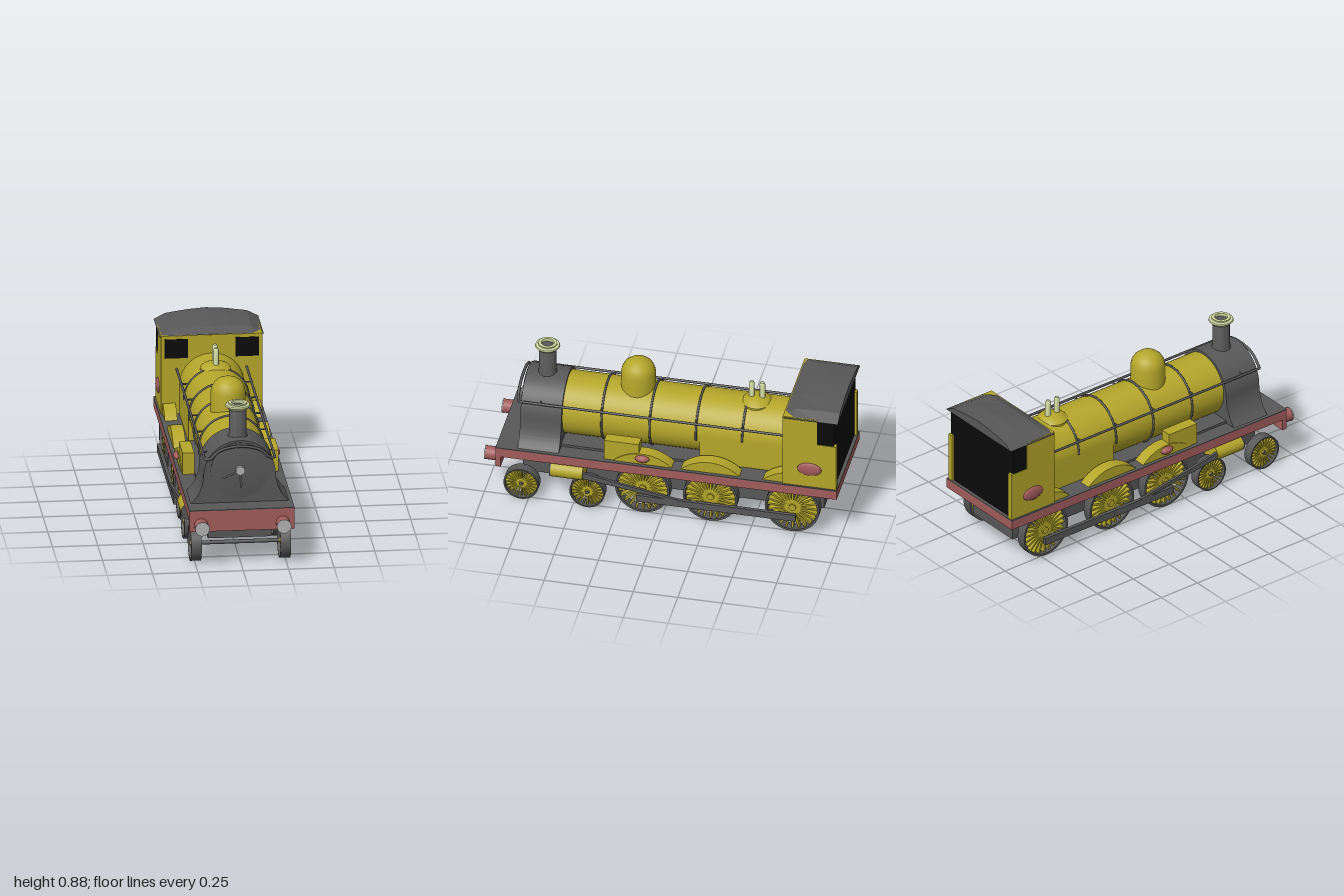
import * as THREE from 'three';
import { toCreasedNormals } from 'three/addons/utils/BufferGeometryUtils.js';

const paint = (name, color) => {
  const m = new THREE.MeshStandardMaterial({ color });
  m.name = name;
  return m;
};

export function createModel() {
  const yellow = paint('yellow', 0xb5a72b), grey = paint('darkGrey', 0x585858), red = paint('red', 0xa35c5c);
  const black = paint('black', 0x0b0b0b), silver = paint('silver', 0xb2b2b2), cream = paint('cream', 0xd0d8a0);
  const model = new THREE.Group();
  model.name = 'steamLocomotive';

  // Helpers
  const add = (name, geo, mat, x = 0, y = 0, z = 0, parent = model) => {
    const mesh = new THREE.Mesh(geo, mat);
    mesh.name = name;
    mesh.position.set(x, y, z);
    parent.add(mesh);
    return mesh;
  };
  const block = (name, mat, x0, x1, y0, y1, z0, z1) =>
    add(name, new THREE.BoxGeometry(x1 - x0, y1 - y0, z1 - z0), mat, (x0 + x1) / 2, (y0 + y1) / 2, (z0 + z1) / 2);
  const rodX = (r, len, n = 16) => new THREE.CylinderGeometry(r, r, len, n).rotateZ(Math.PI / 2);
  const rodZ = (r, len, n = 32) => new THREE.CylinderGeometry(r, r, len, n).rotateX(Math.PI / 2);
  const extrude = (shape, depth, segments = 24) =>
    toCreasedNormals(new THREE.ExtrudeGeometry(shape, { depth, bevelEnabled: false, curveSegments: segments }), 0.6);
  const lathe = (pts) => toCreasedNormals(
    new THREE.LatheGeometry(pts.map(([r, y]) => new THREE.Vector2(r, y)), 32).toNonIndexed(), 0.6);
  const tube = (pts, r) => new THREE.TubeGeometry(
    new THREE.CatmullRomCurve3(pts.map((p) => new THREE.Vector3(...p))), 32, r, 8);

  // Footplate, frame and buffer beam
  block('footplate', red, -0.29, 0.29, 0.275, 0.328, -0.985, 0.93);
  block('footplateTop', grey, -0.29, 0.29, 0.328, 0.333, -0.985, 0.93);
  block('footplateUnderside', grey, -0.26, 0.26, 0.27, 0.275, -0.88, 0.89);
  block('cabUnderside', black, -0.25, 0.25, 0.264, 0.275, -0.97, -0.88);
  block('runningBoardStep', grey, -0.2, 0.2, 0.333, 0.347, -0.2, 0.58);
  block('mainFrame', grey, -0.175, 0.175, 0.125, 0.275, -0.89, 0.8);
  block('bufferBeam', red, -0.29, 0.29, 0.21, 0.33, 0.9, 0.93);

  // Boiler and straight-sided firebox
  add('boiler', rodZ(0.176, 1.24, 48), yellow, 0, 0.5, -0.04);
  const fireboxShape = new THREE.Shape();
  fireboxShape.moveTo(-0.178, 0.333);
  fireboxShape.lineTo(0.178, 0.333);
  fireboxShape.lineTo(0.178, 0.5);
  fireboxShape.absarc(0, 0.5, 0.178, 0, Math.PI, false);
  add('firebox', extrude(fireboxShape, 0.5), yellow, 0, 0, -0.69);
  for (const [z, arc] of [[0.36, Math.PI * 2], [0.09, Math.PI * 2], [-0.17, Math.PI + 0.3], [-0.43, Math.PI]]) {
    const geo = new THREE.TorusGeometry(0.179, 0.006, 8, 48, arc).rotateZ(Math.PI / 2 - arc / 2);
    add('boilerBand', geo, grey, 0, 0.5, z);
  }

  // Smokebox with flared foot
  const smokebox = new THREE.Shape();
  smokebox.moveTo(-0.27, 0.333);
  smokebox.lineTo(0.27, 0.333);
  smokebox.quadraticCurveTo(0.205, 0.39, 0.199, 0.49);
  smokebox.absarc(0, 0.49, 0.199, 0, Math.PI, false);
  smokebox.quadraticCurveTo(-0.205, 0.39, -0.27, 0.333);
  add('smokebox', extrude(smokebox, 0.23), grey, 0, 0, 0.58);
  add('smokeboxDoor', lathe([[0, -0.01], [0.16, -0.01], [0.16, 0.003], [0.1, 0.011], [0, 0.014]]).rotateX(Math.PI / 2),
    grey, 0, 0.518, 0.812);
  add('doorBoss', rodZ(0.025, 0.024, 20), silver, 0, 0.525, 0.833);
  for (const [x, y] of [[-0.1, 0.48], [0.006, 0.425]]) {
    add('doorHandle', tube([[0, 0.525, 0.838], [x / 2, (y + 0.525) / 2, 0.838], [x, y, 0.838]], 0.004), silver);
  }

  // Handrail along both sides and over the door
  add('frontHandrail', tube([[-0.195, 0.592, 0.815], [-0.17, 0.592, 0.828], [-0.11, 0.642, 0.832], [0, 0.664, 0.832],
    [0.11, 0.642, 0.832], [0.17, 0.592, 0.828], [0.195, 0.592, 0.815]], 0.008), grey);
  for (const s of [-1, 1]) {
    add('sideHandrail', rodZ(0.007, 1.5, 8), grey, s * 0.193, 0.592, 0.07);
    for (const z of [0.7, 0.36, 0.09, -0.17, -0.43]) {
      add('handrailStud', rodX(0.005, 0.06, 8), grey, s * 0.165, 0.592, z);
    }
  }

  // Chimney, dome and safety valves
  add('chimney', lathe([[0.058, 0.67], [0.048, 0.7], [0.048, 0.84], [0.038, 0.858], [0, 0.858]]), grey, 0, 0, 0.7);
  add('chimneyCap', lathe([[0.046, 0.834], [0.056, 0.842], [0.069, 0.856], [0.066, 0.864], [0.052, 0.868],
    [0.052, 0.875], [0.035, 0.875], [0.035, 0.855]]), cream, 0, 0, 0.7);
  add('steamDome', lathe([[0.096, 0.6], [0.096, 0.76], [0.09, 0.787], [0.076, 0.812], [0.052, 0.832], [0.026, 0.842],
    [0, 0.844]]), yellow, 0, 0, 0.19);
  add('valveBase', lathe([[0.086, 0.64], [0.086, 0.668], [0.07, 0.684], [0.04, 0.697], [0, 0.7]]), yellow, 0, 0, -0.475);
  for (const z of [-0.445, -0.505]) {
    add('safetyValve', lathe([[0.016, 0.68], [0.016, 0.778], [0.01, 0.79], [0, 0.792]]), cream, 0, 0, z);
  }

  // Cab with black interior
  block('cabFront', yellow, -0.28, 0.28, 0.333, 0.784, -0.872, -0.68);
  block('cabInterior', black, -0.25, 0.25, 0.333, 0.784, -0.966, -0.872);
  block('cabDoorway', black, -0.276, 0.276, 0.62, 0.784, -0.966, -0.872);
  for (const s of [-1, 1]) {
    block('cabRearSide', yellow, s * 0.265 - 0.015, s * 0.265 + 0.015, 0.333, 0.62, -0.98, -0.872);
    block('cabWindow', black, s * 0.195 - 0.065, s * 0.195 + 0.065, 0.655, 0.765, -0.682, -0.677);
  }

  // Hipped cab roof from four cross-sections
  const roofLoops = [
    [-0.685, 0.784, 0.785, 0.786], [-0.74, 0.806, 0.812, 0.815], [-0.88, 0.811, 0.829, 0.834], [-0.99, 0.811, 0.829, 0.836],
  ].map(([z, a, b, c]) => [
    [-0.288, 0.778, z], [-0.225, a, z], [-0.1, b, z], [0, c, z], [0.1, b, z], [0.225, a, z], [0.288, 0.778, z],
  ]);
  const corners = [];
  const quad = (a, b, c, d) => corners.push(...a, ...b, ...c, ...a, ...c, ...d);
  for (let i = 0; i < 3; i++) {
    const f = roofLoops[i], r = roofLoops[i + 1];
    for (let j = 0; j < 7; j++) {
      const k = (j + 1) % 7;
      quad(f[j], f[k], r[k], r[j]);
    }
  }
  for (let j = 1; j < 6; j++) {
    const f = roofLoops[0], r = roofLoops[3];
    corners.push(...f[0], ...f[j + 1], ...f[j], ...r[0], ...r[j], ...r[j + 1]);
  }
  const roofGeo = new THREE.BufferGeometry();
  roofGeo.setAttribute('position', new THREE.Float32BufferAttribute(corners, 3));
  roofGeo.computeVertexNormals();
  add('cabRoof', roofGeo, grey);

  // Spoked wheel: tyre, spokes and hub
  const wheel = (name, x, z, r, y) => {
    const g = new THREE.Group();
    g.name = name;
    g.position.set(x, y, z);
    model.add(g);
    const ring = new THREE.Shape().absarc(0, 0, r, 0, Math.PI * 2, false);
    ring.holes.push(new THREE.Path().absarc(0, 0, r * 0.92, 0, Math.PI * 2, true));
    add('tyre', extrude(ring, 0.058, 20).rotateY(Math.PI / 2), grey, -0.029, 0, 0, g);
    add('hub', rodX(r * 0.13, 0.05), yellow, 0, 0, 0, g);
    for (let i = 0; i < 24; i++) {
      const spoke = new THREE.BoxGeometry(0.03, r * 0.88, r * 0.07).translate(0, r * 0.5, 0);
      add('spoke', spoke, yellow, 0, 0, 0, g).rotation.x = (i * Math.PI) / 12;
    }
  };

  const drivers = [0.11, -0.27, -0.73], leaders = [0.79, 0.42];
  for (const z of drivers) add('drivingAxle', rodX(0.015, 0.5), grey, 0, 0.165, z);
  for (const z of leaders) add('leadingAxle', rodX(0.011, 0.55), grey, 0, 0.098, z);

  // Splasher outline above the footplate
  const half = Math.acos((0.333 - 0.165) / 0.235);
  const splasher = new THREE.Shape().absarc(0, 0.165, 0.235, Math.PI / 2 - half, Math.PI / 2 + half, false);

  for (const s of [-1, 1]) {
    for (const z of drivers) {
      wheel('drivingWheel', s * 0.24, z, 0.153, 0.165);
      add('splasher', extrude(splasher, 0.07).rotateY(-Math.PI / 2), yellow, s > 0 ? 0.27 : -0.2, 0, z);
    }
    for (const z of leaders) wheel('leadingWheel', s * 0.246, z, 0.098, 0.098);
    block('sandbox', yellow, s * 0.2325 - 0.0325, s * 0.2325 + 0.0325, 0.333, 0.457, 0.13, 0.325);

    // Oval plates on splasher and cab
    add('splasherPlate', new THREE.SphereGeometry(1, 24, 16).scale(0.025, 0.022, 0.04), red, s * 0.27, 0.37, 0.11);
    add('cabPlate', new THREE.SphereGeometry(1, 24, 16).scale(0.014, 0.041, 0.068), red, s * 0.28, 0.45, -0.83);

    // Buffers
    add('buffer', rodZ(0.038, 0.067), red, s * 0.225, 0.248, 0.962);
    add('bufferFace', rodZ(0.04, 0.006), silver, s * 0.225, 0.248, 0.997);

    // Cylinders and rods
    add('cylinder', rodZ(1, 0.18).scale(0.07, 0.053, 1), yellow, s * 0.235, 0.222, 0.53);
    add('cylinderCover', rodZ(1, 0.008).scale(0.07, 0.053, 1), grey, s * 0.235, 0.222, 0.623);
    block('couplingRod', grey, s * 0.285 - 0.01, s * 0.285 + 0.01, 0.095, 0.137, -0.755, 0.14);
    const rod = new THREE.Shape([[0.45, 0.205], [0.45, 0.243], [-0.09, 0.142], [-0.09, 0.13]]
      .map(([z, y]) => new THREE.Vector2(z, y)));
    add('connectingRod', extrude(rod, 0.016).rotateY(-Math.PI / 2), grey, s * 0.29 + 0.008, 0, 0);
  }
  return model;
}
